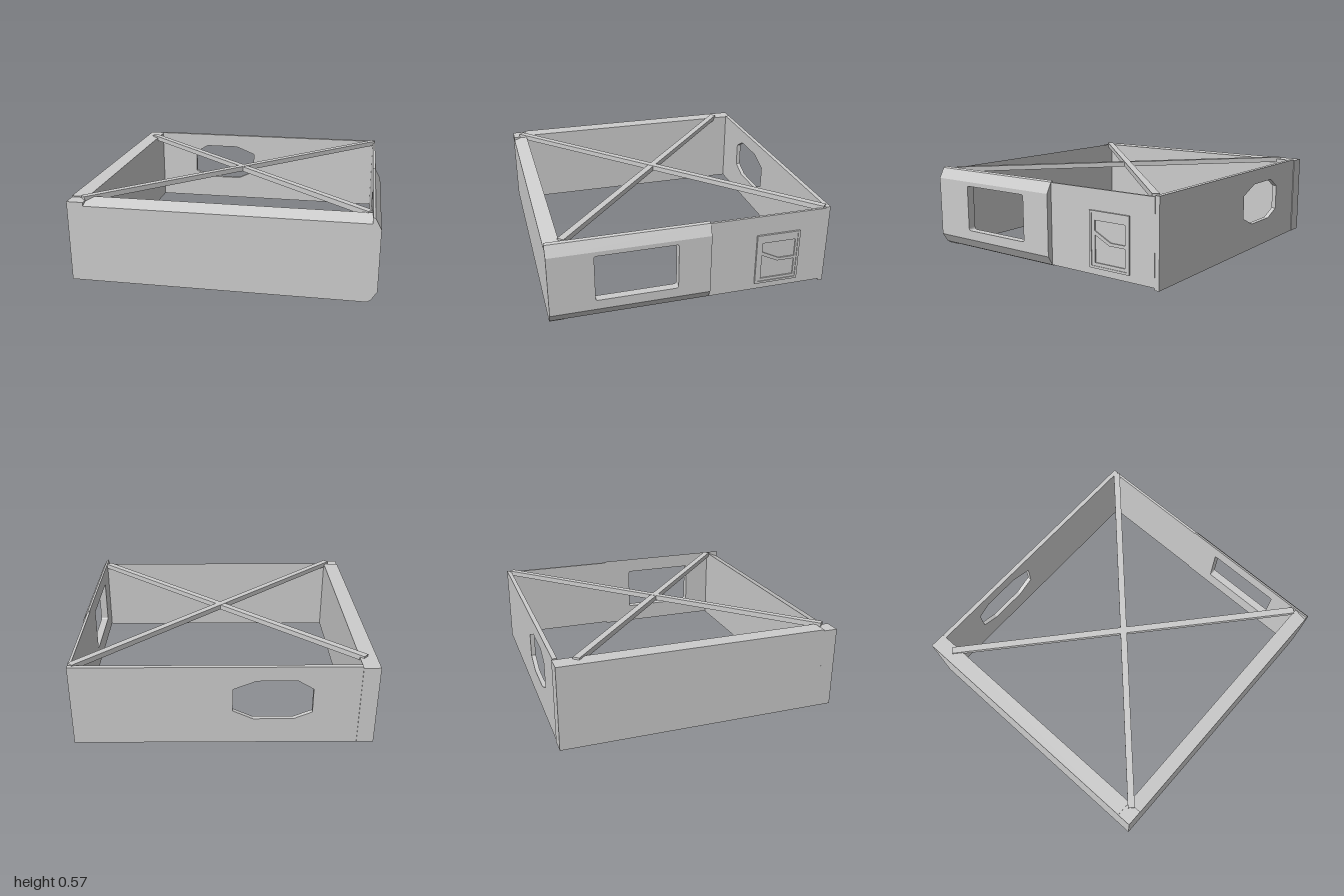
import * as THREE from 'three';

const material = new THREE.MeshStandardMaterial({ color: 0xcccccc, flatShading: true });

const toShape = (pts) => new THREE.Shape(pts.map(([x, y]) => new THREE.Vector2(x, y)));

function roundedRect(x0, y0, x1, y1, r) {
  const s = new THREE.Shape();
  s.moveTo(x0 + r, y0);
  s.lineTo(x1 - r, y0);
  s.quadraticCurveTo(x1, y0, x1, y0 + r);
  s.lineTo(x1, y1 - r);
  s.quadraticCurveTo(x1, y1, x1 - r, y1);
  s.lineTo(x0 + r, y1);
  s.quadraticCurveTo(x0, y1, x0, y1 - r);
  s.lineTo(x0, y0 + r);
  s.quadraticCurveTo(x0, y0, x0 + r, y0);
  return s;
}

// Extrusion along z, with optional holes
function extrude(shape, depth, holes = []) {
  shape.holes.push(...holes);
  return new THREE.ExtrudeGeometry(shape, { depth, bevelEnabled: false, curveSegments: 3 });
}

// Extrusion along +x; the shape is drawn with (-z, y) coordinates
const extrudeX = (shape, x, depth, holes) =>
  extrude(shape, depth, holes).rotateY(Math.PI / 2).translate(x, 0, 0);

const box = (x0, x1, y0, y1, z0, z1) =>
  new THREE.BoxGeometry(x1 - x0, y1 - y0, z1 - z0)
    .translate((x0 + x1) / 2, (y0 + y1) / 2, (z0 + z1) / 2);

export function createModel() {
  const model = new THREE.Group();
  model.name = 'buildingFrame';
  const add = (name, geometry) => {
    const mesh = new THREE.Mesh(geometry, material);
    mesh.name = name;
    model.add(mesh);
    return mesh;
  };

  // Thick solid wall on the -x side
  add('rightWall', box(-0.99, -0.88, 0, 0.553, -0.94, 0.835));
  add('cornerPost', box(-0.99, -0.88, 0, 0.545, 0.835, 0.93));

  // Front wall with its top sloping up towards the inside; section drawn in (-z, y)
  const frontSection = toShape([[-0.93, 0], [-0.835, 0], [-0.835, 0.558], [-0.93, 0.52]]);
  add('frontWall', extrudeX(frontSection, -0.88, 1.825));

  // Thin back wall with an eight-sided opening
  const opening = toShape([
    [-0.07, 0.24], [-0.07, 0.4], [-0.22, 0.46], [-0.48, 0.46],
    [-0.58, 0.4], [-0.58, 0.23], [-0.46, 0.18], [-0.2, 0.18],
  ]);
  const back = toShape([[-0.88, 0], [0.96, 0], [0.96, 0.56], [-0.88, 0.56]]);
  add('backWall', extrude(back, 0.03, [opening]).translate(0, 0, -0.935));

  // Thin rear half of the +x wall
  add('leftRearWall', box(0.945, 0.962, 0.015, 0.553, -0.905, -0.11));

  // Bevelled front half of the +x wall: flat band with a window, and two wedges
  const band = toShape([[-0.93, 0.075], [0.11, 0.075], [0.11, 0.485], [-0.93, 0.485]]);
  const windowHole = roundedRect(-0.64, 0.14, -0.105, 0.455, 0.015);
  add('windowPanel', extrudeX(band, 0.945, 0.055, [windowHole]));
  add('windowPanelTop', extrude(toShape([
    [0.945, 0.485], [1, 0.485], [0.962, 0.555], [0.945, 0.563],
  ]), 1.04).translate(0, 0, -0.11));
  add('windowPanelBottom', extrude(toShape([
    [0.945, 0.005], [0.962, 0.015], [1, 0.075], [0.945, 0.075],
  ]), 1.04).translate(0, 0, -0.11));

  // Hatch: raised rim around a panel with two recesses split by a cranked bar
  const rim = toShape([[0.43, 0.06], [0.73, 0.06], [0.73, 0.42], [0.43, 0.42]]);
  const rimHole = toShape([[0.445, 0.075], [0.715, 0.075], [0.715, 0.405], [0.445, 0.405]]);
  add('hatchRim', extrudeX(rim, 0.96, 0.015, [rimHole]));
  const plate = toShape([[0.445, 0.075], [0.715, 0.075], [0.715, 0.405], [0.445, 0.405]]);
  const upper = toShape([[0.47, 0.295], [0.59, 0.235], [0.7, 0.235], [0.7, 0.36], [0.47, 0.36]]);
  const lower = toShape([[0.47, 0.095], [0.7, 0.095], [0.7, 0.215], [0.58, 0.215], [0.47, 0.27]]);
  add('hatchPanel', extrudeX(plate, 0.96, 0.01, [upper, lower]));

  // Crossed roof beams
  const beams = [
    [-0.92, -0.8, 0.93, 0.825],
    [-0.9, 0.87, 0.945, -0.9],
  ];
  beams.forEach(([x0, z0, x1, z1], i) => {
    const length = Math.hypot(x1 - x0, z1 - z0);
    const beam = add(`roofBeam${i + 1}`, new THREE.BoxGeometry(length, 0.035, 0.045));
    beam.position.set((x0 + x1) / 2, 0.549 + i * 0.002, (z0 + z1) / 2);
    beam.rotation.y = -Math.atan2(z1 - z0, x1 - x0);
  });

  return model;
}
